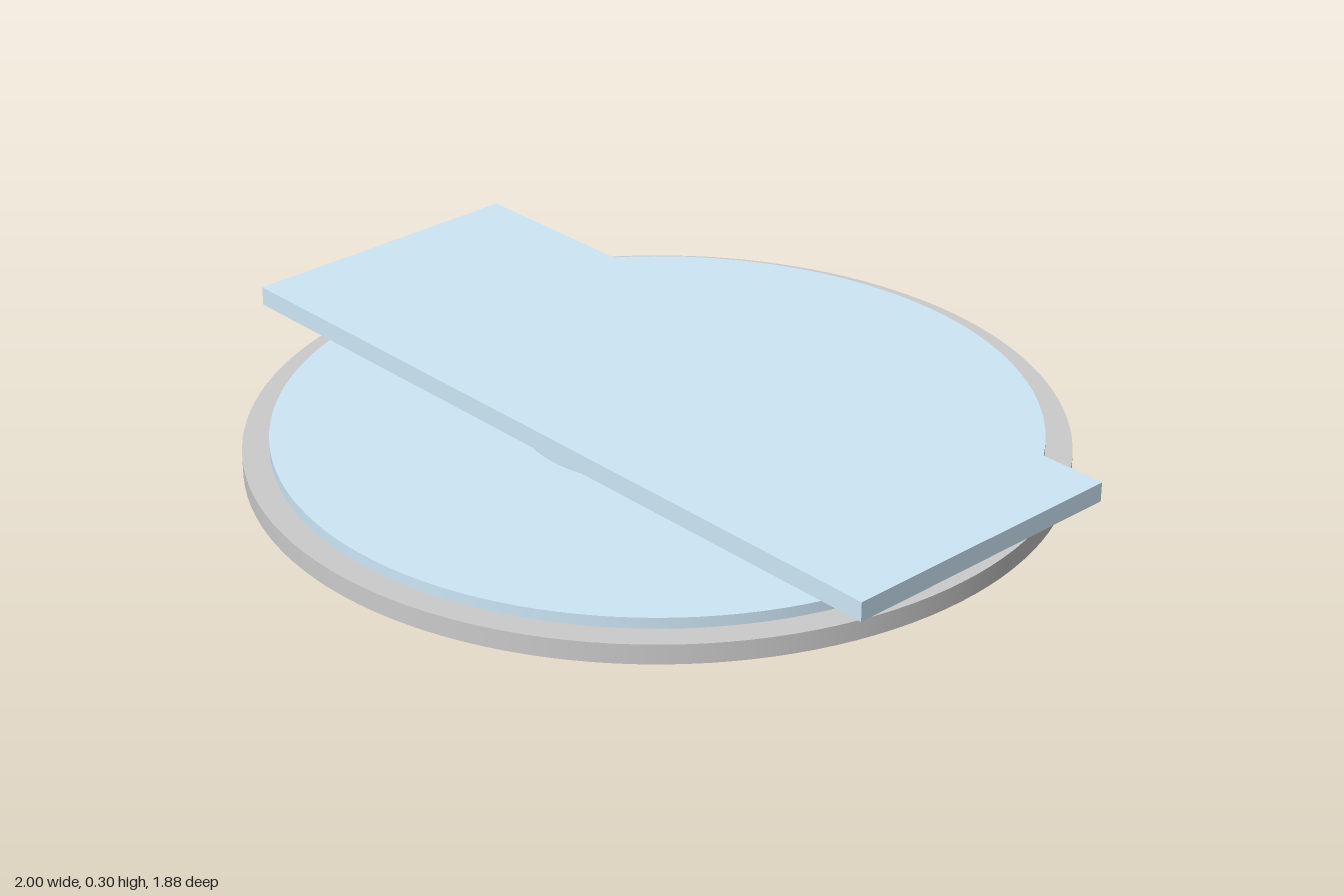
import * as THREE from 'three';

const grey = new THREE.MeshStandardMaterial({ color: 0xcccccc });
const blue = new THREE.MeshStandardMaterial({ color: 0xcee7f7 });

export function createModel() {
  const group = new THREE.Group();

  const add = (name, geometry, material, y) => {
    const mesh = new THREE.Mesh(geometry, material);
    mesh.name = name;
    mesh.position.y = y;
    group.add(mesh);
  };
  // Round plate standing between two heights
  const disc = (name, radius, y0, y1, material) =>
    add(name, new THREE.CylinderGeometry(radius, radius, y1 - y0, 128), material, (y0 + y1) / 2);

  // Round-ended bar underneath
  const r = 0.125, half = 0.752 - r, barHeight = 0.128;
  const slot = new THREE.Shape();
  slot.absarc(half, 0, r, -Math.PI / 2, Math.PI / 2, false);
  slot.absarc(-half, 0, r, Math.PI / 2, Math.PI * 1.5, false);
  slot.closePath();
  const bar = new THREE.ExtrudeGeometry(slot, { depth: barHeight, bevelEnabled: false, curveSegments: 32 });
  bar.rotateX(-Math.PI / 2);
  // Smooth side normals: radial at the ends, straight along the flanks
  const p = bar.attributes.position, n = bar.attributes.normal;
  for (let i = 0; i < p.count; i++) {
    if (Math.abs(n.getY(i)) > 0.5) continue;
    const x = p.getX(i), cx = THREE.MathUtils.clamp(x, -half, half);
    n.setXYZ(i, (x - cx) / r, 0, p.getZ(i) / r);
  }
  add('baseBar', bar, grey, 0);

  // Stacked discs
  disc('baseDisc', 0.942, 0.128, 0.175, grey);
  disc('upperDisc', 0.88, 0.175, 0.201, blue);
  disc('hub', 0.314, 0.201, 0.254, blue);

  // Flat rectangular top plate
  add('topPlate', new THREE.BoxGeometry(2, 0.046, 0.734), blue, 0.277);

  return group;
}
